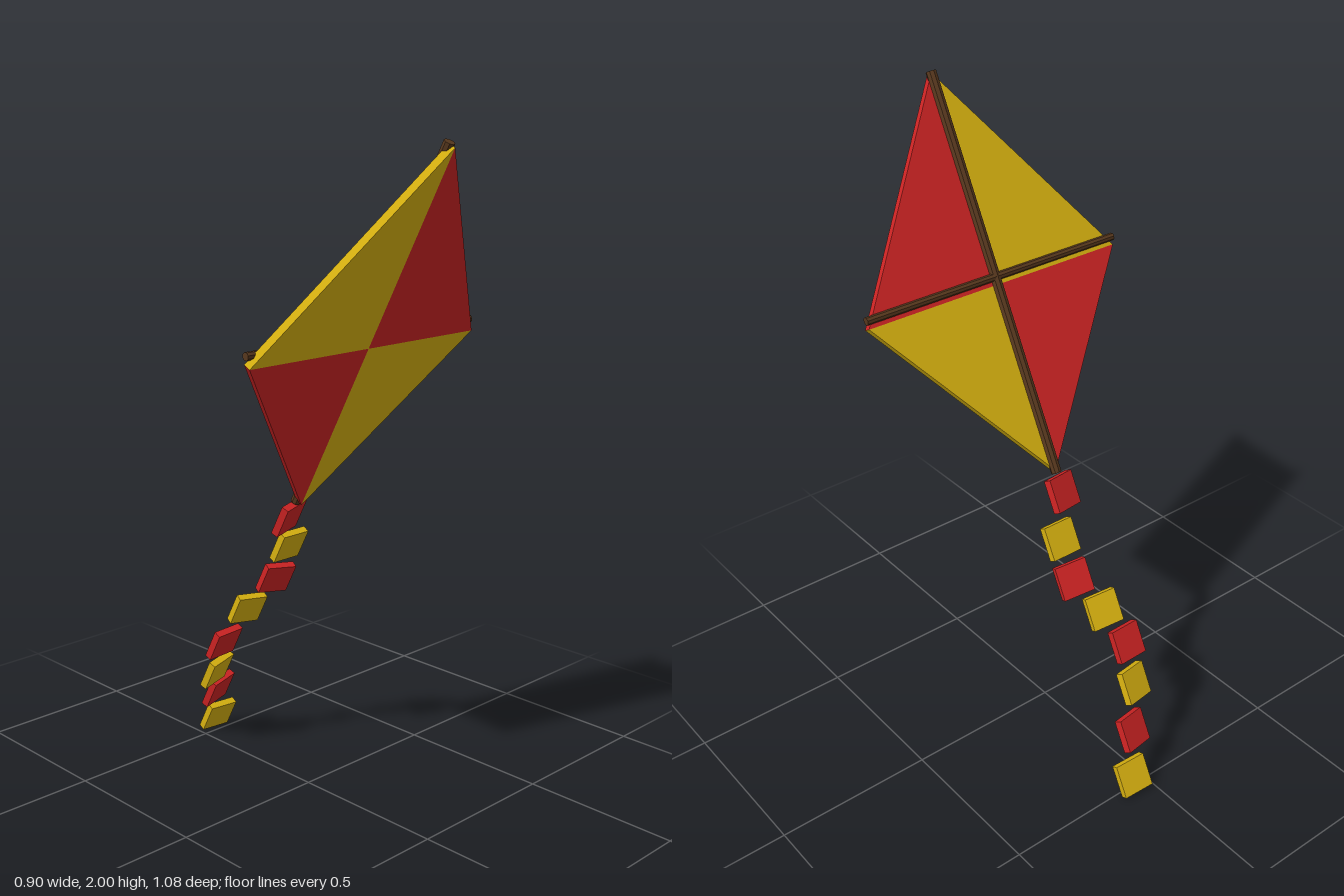
import * as THREE from 'three';

export function createModel() {
  const model = new THREE.Group();
  model.name = 'kite';
  const mat = (name, color) => {
    const m = new THREE.MeshStandardMaterial({ color, flatShading: true });
    m.name = name;
    return m;
  };
  const red = mat('red cloth', 0xcc2323);
  const yellow = mat('yellow cloth', 0xd6b010);
  const wood = mat('dark wood', 0x56371d);

  const tilt = THREE.MathUtils.degToRad(28);
  const add = (parent, name, geometry, material) => {
    const mesh = new THREE.Mesh(geometry, material);
    mesh.name = name;
    parent.add(mesh);
    return mesh;
  };

  // Kite body, leaning forward; its origin is where the panels meet on the back
  const body = new THREE.Group();
  body.name = 'kiteBody';
  body.position.set(0, 1.431, 0.22);
  body.rotation.x = tilt;
  model.add(body);

  // Four triangular sail panels
  const panels = [
    ['upperLeftPanel', 0.447, 0.632, red],
    ['upperRightPanel', -0.447, 0.632, yellow],
    ['lowerLeftPanel', 0.447, -0.58, yellow],
    ['lowerRightPanel', -0.447, -0.58, red],
  ];
  for (const [name, x, y, material] of panels) {
    const shape = new THREE.Shape([
      new THREE.Vector2(0, 0), new THREE.Vector2(x, 0), new THREE.Vector2(0, y),
    ]);
    add(body, name, new THREE.ExtrudeGeometry(shape, { depth: 0.024, bevelEnabled: false }), material);
  }

  // Spine and cross spar, half sunk into the back of the sail
  const spine = add(body, 'spine', new THREE.CylinderGeometry(0.016, 0.016, 1.222, 8), wood);
  spine.position.y = 0.025;
  const spar = add(body, 'crossSpar', new THREE.CylinderGeometry(0.012, 0.012, 0.9, 8), wood);
  spar.rotation.z = Math.PI / 2;
  spar.position.set(0, 0.024, -0.003);

  // Tail pieces: x, y, z and twist in degrees
  const tail = new THREE.Group();
  tail.name = 'tail';
  model.add(tail);
  const pieces = [
    [0, 0.86, -0.085, 14], [0.056, 0.745, -0.145, 0],
    [0.05, 0.625, -0.2, -13], [-0.011, 0.52, -0.268, -11],
    [-0.062, 0.402, -0.325, 3], [-0.045, 0.284, -0.382, 13],
    [0.019, 0.178, -0.453, 13], [0.062, 0.055, -0.507, -4],
  ];
  const pieceGeometry = new THREE.BoxGeometry(0.102, 0.104, 0.024);
  pieces.forEach(([x, y, z, twist], i) => {
    const piece = add(tail, 'tailPiece' + (i + 1), pieceGeometry, i % 2 ? yellow : red);
    piece.position.set(x, y, z);
    piece.rotation.set(tilt, THREE.MathUtils.degToRad(twist), 0);
  });

  return model;
}
